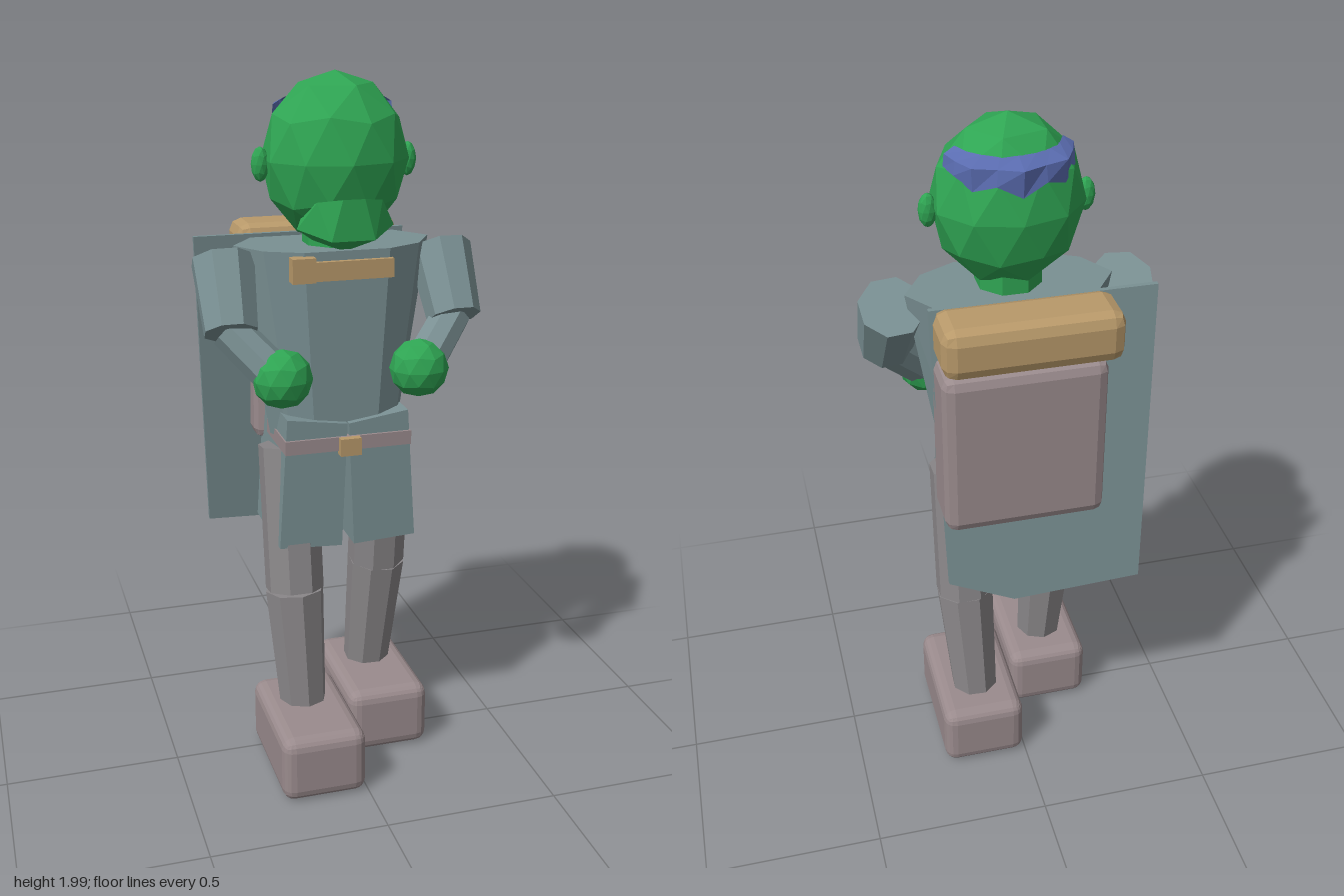
import * as THREE from 'three';
import { RoundedBoxGeometry } from 'three/addons/geometries/RoundedBoxGeometry.js';
import { ConvexGeometry } from 'three/addons/geometries/ConvexGeometry.js';

const mat = (color) => new THREE.MeshStandardMaterial({ color, flatShading: true });
const V = (x, y, z) => new THREE.Vector3(x, y, z);

export function createModel() {
  const group = new THREE.Group();
  const skin = mat(0x2fa553), cloth = mat(0x7a9093), trousers = mat(0x8a8789);
  const leather = mat(0x9a8b8d), tan = mat(0xb8996a), blue = mat(0x5a6cb0);
  blue.side = THREE.DoubleSide;

  const add = (name, geometry, material, pos = [0, 0, 0]) => {
    const mesh = new THREE.Mesh(geometry, material);
    mesh.name = name;
    mesh.position.set(...pos);
    group.add(mesh);
    return mesh;
  };
  // box given by its min and max corners
  const box = (name, a, b, material, radius = 0, segments = 1) => {
    const s = a.map((v, i) => b[i] - v), c = a.map((v, i) => (b[i] + v) / 2);
    const g = radius ? new RoundedBoxGeometry(...s, segments, radius) : new THREE.BoxGeometry(...s);
    return add(name, g, material, c);
  };
  // tapered prism between two points
  const limb = (name, a, b, ra, rb, material, sides = 8) => {
    const A = V(...a), B = V(...b), dir = B.clone().sub(A);
    const g = new THREE.CylinderGeometry(rb, ra, dir.length(), sides).rotateY(Math.PI / sides);
    const m = add(name, g, material, A.add(B).multiplyScalar(0.5).toArray());
    m.quaternion.setFromUnitVectors(V(0, 1, 0), dir.normalize());
    return m;
  };
  // low-poly ball with a vertex at its top
  const ball = (name, pos, r, material) => add(name,
    new THREE.IcosahedronGeometry(1, 1).rotateZ(-Math.atan(2 / (1 + Math.sqrt(5)))).scale(...r), material, pos);
  const mirrored = (pts) => pts.flatMap(([x, y, z]) => [V(x, y, z), V(-x, y, z)]);

  // Feet and legs, the right leg stepping forward
  const legs = [
    { side: 'left', s: 1, hip: -0.035, knee: -0.08, ankle: -0.125, foot: -0.07 },
    { side: 'right', s: -1, hip: -0.01, knee: 0.055, ankle: 0.08, foot: 0.13 },
  ];
  for (const { side, s, hip, knee, ankle, foot } of legs) {
    add(side + 'Foot', new RoundedBoxGeometry(0.245, 0.195, 0.4, 2, 0.035), leather, [s * 0.127, 0.105, foot]);
    limb(side + 'Thigh', [s * 0.145, 0.97, hip], [s * 0.145, 0.55, knee], 0.085, 0.085, trousers);
    limb(side + 'Shin', [s * 0.145, 0.55, knee], [s * 0.128, 0.17, ankle], 0.086, 0.068, trousers);
  }

  // Split skirt of the tunic
  for (const s of [1, -1]) {
    const pts = [];
    for (const z of [0.11, -0.17]) {
      pts.push(V(s * 0.002, 1.055, z), V(s * 0.175, 1.08, z), V(s * 0.2, 0.7, z), V(s * 0.018, 0.69, z));
    }
    add(s > 0 ? 'leftSkirt' : 'rightSkirt', new ConvexGeometry(pts), cloth);
  }

  // Torso, wide at the shoulders
  add('torso', new ConvexGeometry(mirrored([
    [0.28, 1.54, -0.05], [0.21, 1.54, -0.15], [0.22, 1.54, 0.05], [0.12, 1.54, 0.1],
    [0.19, 1.0, -0.03], [0.14, 1.0, -0.12], [0.15, 1.0, 0.06], [0.09, 1.0, 0.09],
  ])), cloth);

  // Belt and chest strap with their buckles
  box('belt', [-0.183, 0.98, -0.1], [0.183, 1.02, 0.118], leather);
  box('beltBuckle', [-0.03, 0.97, 0.11], [0.03, 1.02, 0.14], tan);
  box('chestStrap', [-0.13, 1.463, 0.06], [0.127, 1.515, 0.115], tan);
  box('chestBuckle', [-0.16, 1.463, 0.09], [-0.095, 1.53, 0.13], tan);

  // Arms bent forward, with round hands
  for (const s of [1, -1]) {
    const side = s > 0 ? 'left' : 'right';
    limb(side + 'Sleeve', [s * 0.312, 1.505, -0.04], [s * 0.318, 1.33, 0.075], 0.09, 0.076, cloth);
    limb(side + 'Forearm', [s * 0.32, 1.335, 0.055], [s * 0.21, 1.215, 0.13], 0.055, 0.058, cloth);
    ball(side + 'Hand', [s * 0.194, 1.21, 0.14], [0.083, 0.083, 0.076], skin);
  }

  // Head, neck, ears and heavy jaw
  limb('neck', [0, 1.5, -0.03], [0, 1.64, -0.03], 0.09, 0.09, skin);
  ball('head', [0, 1.77, -0.024], [0.203, 0.23, 0.176], skin);
  for (const s of [1, -1]) ball(s > 0 ? 'leftEar' : 'rightEar', [s * 0.207, 1.76, -0.025], [0.025, 0.047, 0.022], skin);
  add('jaw', new ConvexGeometry(mirrored([
    [0.09, 1.675, 0.12], [0.135, 1.6, 0.08], [0.06, 1.575, 0.155], [0.03, 1.685, 0.157],
    [0.08, 1.56, 0.03], [0.01, 1.535, 0.07], [0.1, 1.64, 0.02],
  ])), skin);

  // Headband: jagged crescent around the back of the head
  const pos = [], idx = [], n = 8;
  for (let i = 0; i <= n; i++) {
    const a = Math.PI * (0.04 + 0.92 * i / n), fade = Math.sin(a);
    const rings = [
      [0.66 + 0.08 * (1 - fade), 1.93],
      [1 - 0.09 * (i % 2) * fade - 0.14 * (1 - fade), 1.913],
      [0.95 - 0.06 * (1 - fade), 1.885 - (i % 2 ? 0.015 : 0.045) * fade],
    ];
    for (const [r, y] of rings) pos.push(0.19 * r * Math.cos(a), y, -0.024 - 0.173 * r * Math.sin(a));
    if (i < n) {
      for (const j of [0, 1]) {
        const k = i * 3 + j;
        idx.push(k, k + 1, k + 3, k + 1, k + 4, k + 3);
      }
    }
  }
  const band = new THREE.BufferGeometry();
  band.setAttribute('position', new THREE.Float32BufferAttribute(pos, 3));
  band.setIndex(idx);
  band.computeVertexNormals();
  add('headband', band, blue);

  // Backpack and bedroll
  box('backpack', [-0.205, 0.94, -0.31], [0.235, 1.42, -0.14], leather, 0.03);
  box('bedroll', [-0.237, 1.43, -0.337], [0.237, 1.57, -0.172], tan, 0.035);

  // Cape: thin slanted sheet hanging to one side
  const outline = [[-0.37, 1.55], [-0.33, 0.66], [0.04, 0.645], [0.225, 0.73], [0.24, 1.55]];
  const capeShape = new THREE.Shape(outline.map(([x, y]) => new THREE.Vector2(x, y)));
  const cape = new THREE.ExtrudeGeometry(capeShape, { depth: 0.014, bevelEnabled: false });
  const p = cape.attributes.position;
  for (let i = 0; i < p.count; i++) p.setZ(i, p.getZ(i) - 0.165 - 0.12 * (1.55 - p.getY(i)));
  cape.computeVertexNormals();
  add('cape', cape, cloth);

  return group;
}
